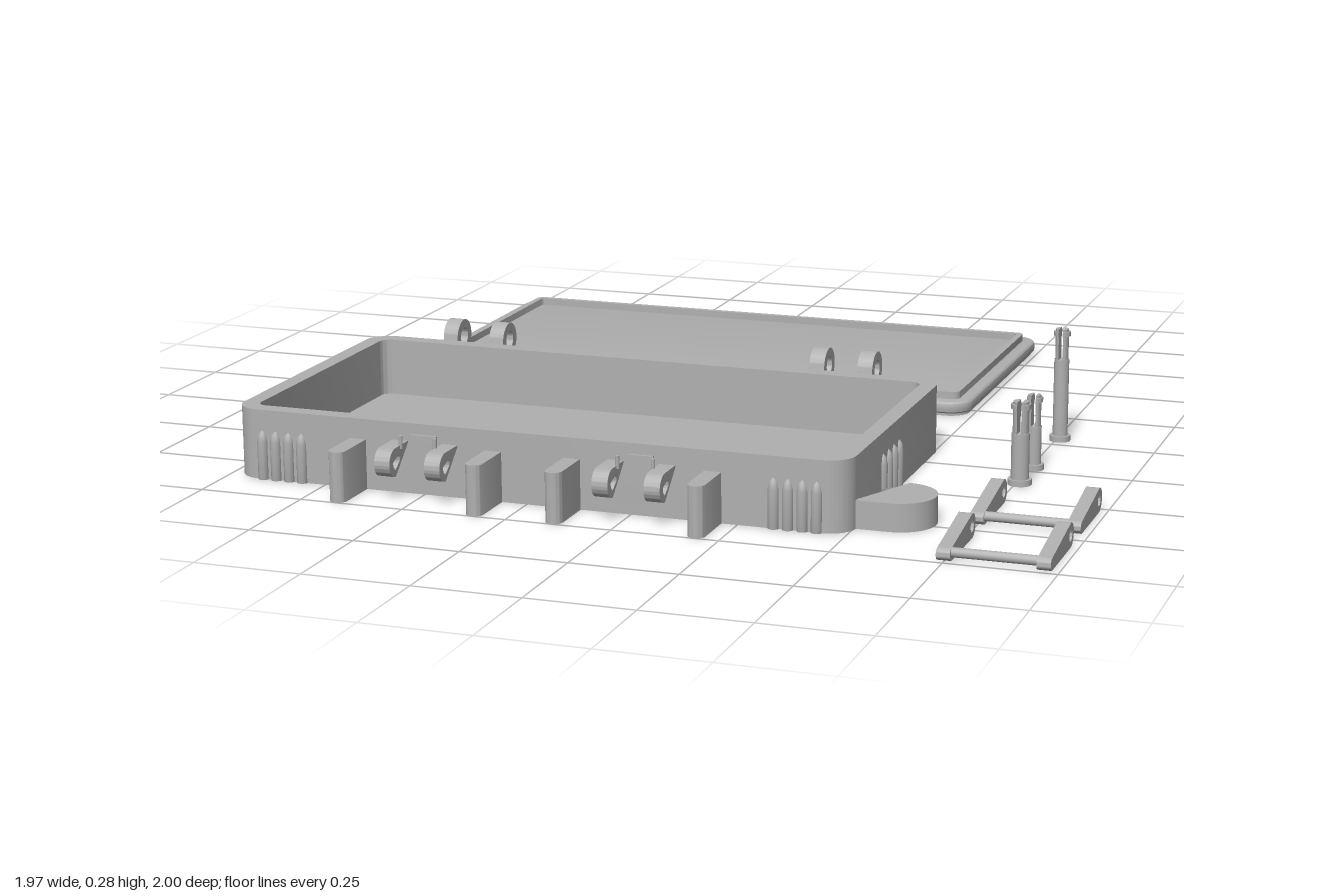
import * as THREE from 'three';
import { toCreasedNormals } from 'three/addons/utils/BufferGeometryUtils.js';

export function createModel() {
  const model = new THREE.Group();
  const grey = new THREE.MeshStandardMaterial({ color: 0xb0b0b0 });
  grey.name = 'grey plastic';

  const add = (name, geometry, parent = model) => {
    const mesh = new THREE.Mesh(geometry, grey);
    mesh.name = name;
    parent.add(mesh);
    return mesh;
  };
  const group = (name) => {
    const g = new THREE.Group();
    g.name = name;
    model.add(g);
    return g;
  };
  const crease = (g) => toCreasedNormals(g, 0.5);

  // Rounded rectangle outline
  const rounded = (x0, x1, z0, z1, r, Type = THREE.Shape) => {
    const s = new Type();
    s.absarc(x1 - r, z1 - r, r, 0, Math.PI / 2);
    s.absarc(x0 + r, z1 - r, r, Math.PI / 2, Math.PI);
    s.absarc(x0 + r, z0 + r, r, Math.PI, Math.PI * 1.5);
    s.absarc(x1 - r, z0 + r, r, Math.PI * 1.5, Math.PI * 2);
    s.closePath();
    return s;
  };
  const circleHole = (x, y, r) => new THREE.Path().absarc(x, y, r, 0, Math.PI * 2, true);

  // Plan outline (x, z) raised from y0 to y1, with optional bevel
  const slab = (shape, y0, y1, bevel = 0) => {
    const g = new THREE.ExtrudeGeometry(shape, {
      depth: y1 - y0 - 2 * bevel, curveSegments: 10, bevelEnabled: bevel > 0,
      bevelSize: bevel, bevelThickness: bevel, bevelOffset: -bevel, bevelSegments: 3,
    });
    return crease(g.rotateX(Math.PI / 2).translate(0, y1 - bevel, 0));
  };
  // Side outline (z, y) spread to a width around x
  const profile = (shape, x, width) => {
    const g = new THREE.ExtrudeGeometry(shape, { depth: width, curveSegments: 20, bevelEnabled: false });
    return crease(g.rotateY(-Math.PI / 2).translate(x + width / 2, 0, 0));
  };
  const box = (x0, x1, y0, y1, z0, z1) =>
    new THREE.BoxGeometry(x1 - x0, y1 - y0, z1 - z0).translate((x0 + x1) / 2, (y0 + y1) / 2, (z0 + z1) / 2);

  // Tray: floor and wall
  const tray = group('tray');
  add('trayFloor', slab(rounded(-0.98, 0.505, 0.105, 0.875, 0.06), 0, 0.025), tray);
  const wall = rounded(-0.98, 0.505, 0.105, 0.875, 0.06);
  wall.holes.push(rounded(-0.94, 0.465, 0.145, 0.835, 0.025, THREE.Path));
  add('trayWall', slab(wall, 0.025, 0.165), tray);

  // Grip ribs with pointed tops
  const rib = new THREE.LatheGeometry(
    [[0, 0], [0.013, 0], [0.013, 0.09], [0.009, 0.108], [0, 0.118]].map(([x, y]) => new THREE.Vector2(x, y)), 12);
  for (let i = 0; i < 4; i++) {
    for (const z of [0.107, 0.873]) {
      add('gripRib', rib, tray).position.set(-0.907 + i * 0.033, 0, z);
      add('gripRib', rib, tray).position.set(0.432 - i * 0.033, 0, z);
    }
    for (const x of [-0.978, 0.503]) add('gripRib', rib, tray).position.set(x, 0, 0.48 + i * 0.043);
  }

  // Rear hinge knuckles on the tray
  const knuckle = new THREE.Shape();
  knuckle.moveTo(0.11, 0.16);
  knuckle.absarc(0.05, 0.165, 0.043, 0, Math.PI * 1.6);
  knuckle.lineTo(0.11, 0.11);
  knuckle.closePath();
  knuckle.holes.push(circleHole(0.05, 0.165, 0.022));
  for (const x of [-0.78, -0.656, 0.186, 0.307]) add('trayHinge', profile(knuckle, x, 0.038), tray);

  // Front guard blades with rounded noses
  for (const x of [-0.664, -0.33, -0.14, 0.193]) {
    const blade = new THREE.Shape();
    blade.moveTo(x - 0.02, 0.87);
    blade.lineTo(x + 0.02, 0.87);
    blade.absarc(x, 0.98, 0.02, 0, Math.PI);
    blade.closePath();
    add('guardBlade', slab(blade, 0, 0.117), tray);
  }

  // Clasp lugs, each pair with tiny pegs and a catch on the wall
  const lug = new THREE.Shape();
  lug.moveTo(0.87, 0.058);
  lug.absarc(0.942, 0.09, 0.033, -Math.PI / 2, Math.PI / 2);
  lug.lineTo(0.87, 0.123);
  lug.closePath();
  lug.holes.push(circleHole(0.937, 0.09, 0.018));
  for (const cx of [-0.497, 0.026]) {
    for (const side of [-1, 1]) {
      add('claspLug', profile(lug, cx + side * 0.061, 0.038), tray);
      add('lugPeg', new THREE.CylinderGeometry(0.005, 0.005, 0.03, 8), tray)
        .position.set(cx + side * 0.042, 0.13, 0.913);
    }
    add('wallCatch', box(cx - 0.03, cx + 0.03, 0.125, 0.14, 0.87, 0.882), tray);
  }

  // Lanyard loop at the front left corner
  const loop = new THREE.Shape();
  loop.moveTo(0.5, 0.65);
  loop.absarc(0.58, 0.735, 0.085, -Math.PI / 2, Math.PI / 2);
  loop.lineTo(0.5, 0.82);
  loop.closePath();
  loop.holes.push(circleHole(0.58, 0.735, 0.046));
  add('lanyardLoop', slab(loop, 0, 0.065), tray);

  // Lid lying open, with four round pockets beneath
  const lid = group('lid');
  const under = rounded(-0.977, 0.485, -0.92, -0.18, 0.05);
  for (const x of [-0.865, 0.373])
    for (const z of [-0.81, -0.29]) under.holes.push(circleHole(x, z, 0.05));
  add('lidUnderside', slab(under, 0, 0.009), lid);
  add('lidPanel', slab(rounded(-0.987, 0.495, -0.93, -0.17, 0.06), 0.006, 0.037, 0.01), lid);
  const lip = rounded(-0.945, 0.463, -0.888, -0.206, 0.018);
  lip.holes.push(rounded(-0.929, 0.447, -0.872, -0.222, 0.01, THREE.Path));
  add('lidLip', slab(lip, 0.034, 0.055), lid);

  // Thin latch tabs with a down-turned tip
  for (const x of [-0.51, 0.013]) {
    add('latchTab', box(x - 0.038, x + 0.038, 0.016, 0.027, -1, -0.92), lid);
    add('latchRoot', box(x - 0.038, x + 0.038, 0.01, 0.027, -0.955, -0.92), lid);
  }

  // Lid hinge knuckles
  const lidKnuckle = new THREE.Shape();
  lidKnuckle.moveTo(-0.18, 0.006);
  lidKnuckle.absarc(-0.105, 0.042, 0.042, Math.PI * 1.35, Math.PI * 2.87);
  lidKnuckle.lineTo(-0.18, 0.034);
  lidKnuckle.closePath();
  lidKnuckle.holes.push(circleHole(-0.105, 0.042, 0.022));
  for (const x of [-0.73, 0.232]) add('lidHinge', profile(lidKnuckle, x, 0.07), lid);

  // Loose U-shaped clasps: two tapered arms and a cross bar
  for (const z of [0.497, 0.778]) {
    const clasp = group('clasp');
    const arm = new THREE.Shape();
    arm.moveTo(z + 0.2, 0);
    arm.absarc(z + 0.2, 0.014, 0.014, -Math.PI / 2, Math.PI / 2);
    arm.absarc(z + 0.029, 0.028, 0.028, Math.PI * 0.45, Math.PI * 1.5);
    arm.closePath();
    arm.holes.push(circleHole(z + 0.029, 0.028, 0.014));
    for (const x of [0.749, 0.967]) add('claspArm', profile(arm, x, 0.031), clasp);
    const bar = new THREE.CylinderGeometry(0.011, 0.011, 0.2, 16).rotateZ(Math.PI / 2);
    add('claspBar', bar, clasp).position.set(0.858, 0.018, z + 0.196);
  }

  // Loose split pins standing on their heads
  const pins = [[-0.045, 0.277, 0.018], [0.225, 0.18, 0.017], [0.36, 0.197, 0.021]];
  for (const [z, height, r] of pins) {
    const pin = group('splitPin');
    pin.position.set(0.76, 0, z);
    const slot = height - 0.075;
    add('pinHead', new THREE.CylinderGeometry(r + 0.007, r + 0.007, 0.014, 24).translate(0, 0.007, 0), pin);
    add('pinShaft', new THREE.CylinderGeometry(r, r, slot, 24).translate(0, slot / 2, 0), pin);
    // Half-round prongs either side of the slot, with a barb near the tip
    const half = (radius, turn) => {
      const a = Math.acos(0.005 / radius);
      const s = new THREE.Shape();
      s.absarc(0, 0, radius, turn - a, turn + a);
      s.closePath();
      return s;
    };
    for (const turn of [0, Math.PI]) {
      add('pinProng', slab(half(r * 0.88, turn), slot - 0.005, height), pin);
      add('pinBarb', slab(half(r + 0.002, turn), height - 0.017, height - 0.006), pin);
    }
  }
  return model;
}
